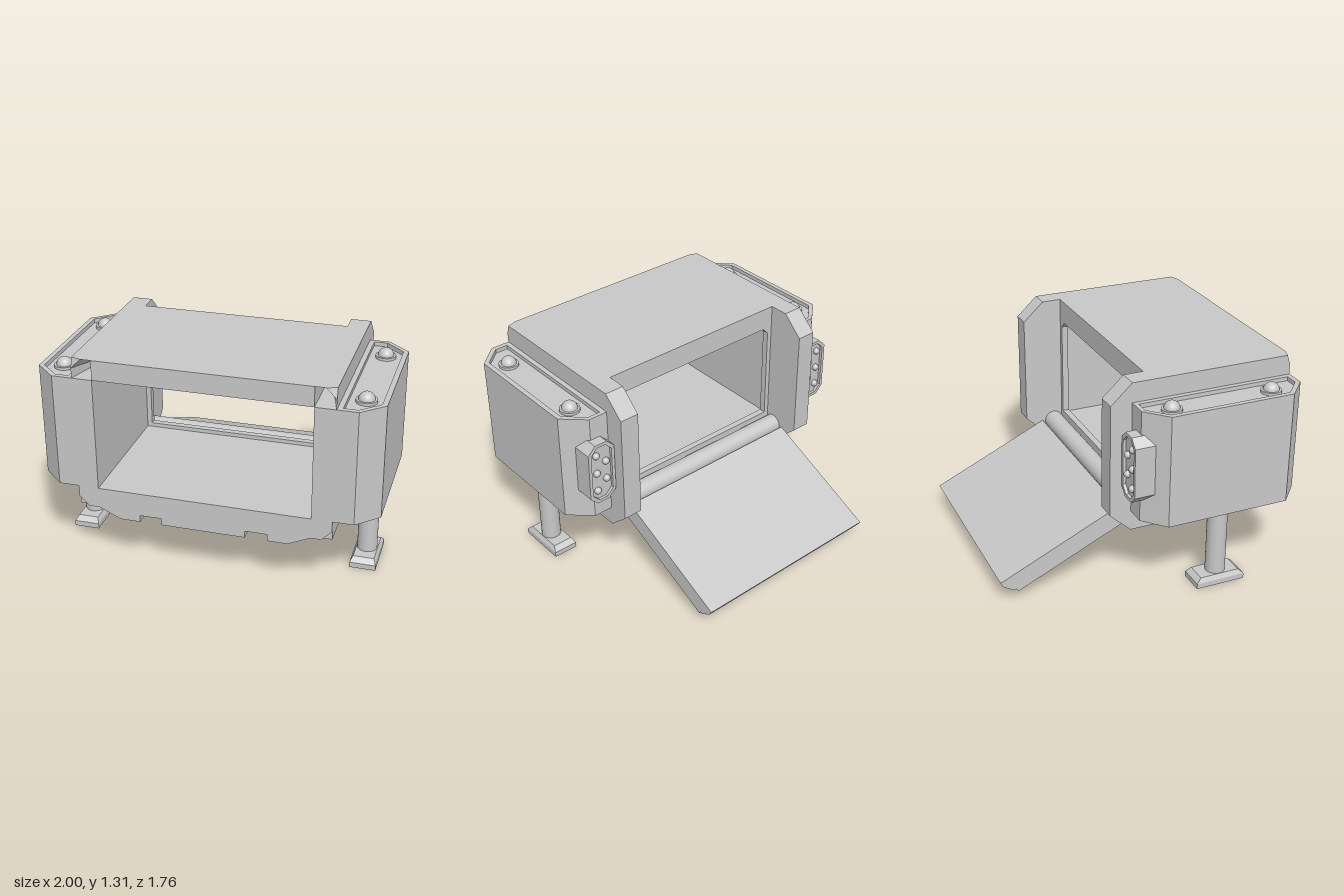
import * as THREE from 'three';

const hull = new THREE.MeshStandardMaterial({ color: 0xc8c8c8, side: THREE.DoubleSide });
hull.name = 'hullGrey';

function add(parent, name, geometry) {
  const mesh = new THREE.Mesh(geometry, hull);
  mesh.name = name;
  parent.add(mesh);
  return mesh;
}

// Box given by its limits on each axis
function box(x0, x1, y0, y1, z0, z1) {
  return new THREE.BoxGeometry(x1 - x0, y1 - y0, z1 - z0)
    .translate((x0 + x1) / 2, (y0 + y1) / 2, (z0 + z1) / 2);
}

function extrude(pts, depth, holes = []) {
  const vec = (list) => list.map((p) => new THREE.Vector2(p[0], p[1]));
  const shape = new THREE.Shape(vec(pts));
  shape.holes = holes.map((h) => new THREE.Path(vec(h)));
  return new THREE.ExtrudeGeometry(shape, { depth, bevelEnabled: false });
}
// [x, y] outline from z0 to z1
const alongZ = (pts, z0, z1, holes) => extrude(pts, z1 - z0, holes).translate(0, 0, z0);
// [z, y] outline from x0 to x1
const alongX = (pts, x0, x1) => extrude(pts, x1 - x0).rotateY(-Math.PI / 2).translate(x1, 0, 0);
// [x, z] outline from y0 to y1
const alongY = (pts, y0, y1, holes) => extrude(pts, y1 - y0, holes).rotateX(Math.PI / 2).translate(0, y1, 0);

const rect = (x0, x1, y0, y1) => [[x0, y0], [x1, y0], [x1, y1], [x0, y1]];
const octagon = (x0, x1, y0, y1, c) => [[x0 + c, y0], [x1 - c, y0], [x1, y0 + c], [x1, y1 - c],
  [x1 - c, y1], [x0 + c, y1], [x0, y1 - c], [x0, y0 + c]];

// Upper front corner of the shell, hollowed by a long inward facet
function cornerGeometry() {
  const back = 0.45;
  const A = [0.63, 1.31, 0.88], B = [0.75, 1.19, 0.88], C = [0.69, 1.31, 0.88], D = [0.75, 1.25, 0.88];
  const E = [0.63, 1.19, back], F = [0.75, 1.31, 0.86];
  const G = [0.63, 1.31, back], H = [0.75, 1.31, back], I = [0.75, 1.19, back];
  const faces = [[G, A, C, F, H], [H, F, D, B, I], [C, D, F], [E, A, C], [E, C, D], [E, D, B]];
  const pos = [];
  for (const f of faces) {
    for (let i = 1; i < f.length - 1; i++) pos.push(...f[0], ...f[i], ...f[i + 1]);
  }
  const g = new THREE.BufferGeometry();
  g.setAttribute('position', new THREE.Float32BufferAttribute(pos, 3));
  g.computeVertexNormals();
  return g;
}

function buildShell(root) {
  const shell = new THREE.Group();
  shell.name = 'shell';
  root.add(shell);
  add(shell, 'rearShell', alongZ(rect(-0.75, 0.75, 0.38, 1.31), 0, 0.45,
    [rect(-0.63, 0.63, 0.505, 1.19)]));
  add(shell, 'roof', box(-0.63, 0.63, 1.19, 1.31, 0.45, 0.88));
  add(shell, 'floor', alongZ([[-0.75, 0.44], [-0.69, 0.38], [0.69, 0.38], [0.75, 0.44],
    [0.75, 0.505], [-0.75, 0.505]], 0.86, 0.88));
  add(shell, 'floorSlab', box(-0.75, 0.75, 0.38, 0.505, 0.45, 0.86));
  // Inner door frame at the rear
  add(shell, 'rearFrame', alongZ(rect(-0.63, 0.63, 0.505, 1.19), 0, 0.04,
    [[[-0.6, 0.53], [0.6, 0.53], [0.6, 1.13], [0.56, 1.17], [-0.56, 1.17], [-0.6, 1.13]]]));
  add(shell, 'hingeSill', box(-0.63, 0.63, 0.38, 0.42, -0.07, 0));
  const hinge = add(shell, 'hinge', new THREE.CylinderGeometry(0.06, 0.06, 1.25, 32).rotateZ(Math.PI / 2));
  hinge.position.set(0, 0.465, -0.06);

  // Underside skids, divided by grooves
  const skid = [[0.88, 0.38], [0.88, 0.32], [0.33, 0.32], [0.13, 0.38]];
  add(shell, 'middleSkid', alongX(skid, -0.25, 0.25));
  add(shell, 'skidBase', box(-0.38, 0.38, 0.362, 0.38, 0.2, 0.88));
}

// Everything on the +x side; the other side is its mirror
function buildSide() {
  const side = new THREE.Group();
  add(side, 'sideWall', box(0.63, 0.75, 0.505, 1.19, 0.45, 0.88));
  add(side, 'frontCorner', cornerGeometry());
  add(side, 'rearFlange', alongX([[0, 0.38], [0, 1.31], [-0.12, 1.31], [-0.25, 1.19],
    [-0.25, 0.5], [-0.12, 0.38]], 0.63, 0.75));

  // Outer skid with its lower edge drawn inward
  const skid = alongX([[0.88, 0.38], [0.88, 0.32], [0.33, 0.32], [0.13, 0.38]], 0.38, 0.63);
  const p = skid.attributes.position;
  for (let i = 0; i < p.count; i++) if (p.getX(i) > 0.6 && p.getY(i) < 0.35) p.setX(i, 0.5);
  skid.computeVertexNormals();
  add(side, 'outerSkid', skid);

  // Pod with a recessed tray at top and bottom
  const plan = [[0.75, -0.12], [0.87, -0.12], [1, 0], [1, 0.76], [0.87, 0.88], [0.75, 0.88]];
  const tray = [[0.78, -0.095], [0.86, -0.095], [0.97, 0.01], [0.97, 0.75], [0.86, 0.85], [0.78, 0.85]];
  add(side, 'pod', alongY(plan, 0.53, 1.165));
  add(side, 'podTopRim', alongY(plan, 1.165, 1.19, [tray]));
  add(side, 'podBottomRim', alongY(plan, 0.505, 0.53, [tray]));
  for (const z of [0.06, 0.685]) {
    for (const s of [1, -1]) {
      const y = s > 0 ? 1.165 : 0.53;
      const ring = add(side, 'knobRing', new THREE.CylinderGeometry(0.06, 0.06, 0.016, 28));
      ring.position.set(0.875, y + s * 0.008, z);
      const dome = add(side, 'knob', new THREE.SphereGeometry(0.047, 24, 16));
      dome.position.set(0.875, y + s * 0.013, z);
    }
  }

  // Leg and foot
  const leg = add(side, 'leg', new THREE.CylinderGeometry(0.06, 0.06, 0.48, 32));
  leg.position.set(0.875, 0.295, 0.38);
  add(side, 'footBase', box(0.797, 0.953, 0, 0.033, 0.225, 0.535));
  const top = box(0.797, 0.953, 0.033, 0.062, 0.225, 0.535);
  const t = top.attributes.position;
  for (let i = 0; i < t.count; i++) {
    if (t.getY(i) < 0.05) continue;
    t.setX(i, 0.875 + (t.getX(i) - 0.875) * 0.8);
    t.setZ(i, 0.38 + (t.getZ(i) - 0.38) * 0.8);
  }
  top.computeVertexNormals();
  add(side, 'footTop', top);

  // Rear control box: body, raised rim and buttons
  const outline = octagon(0.755, 0.935, 0.645, 1.05, 0.05);
  add(side, 'controlBox', alongZ(outline, -0.165, -0.055));
  add(side, 'controlRim', alongZ(outline, -0.183, -0.165, [octagon(0.775, 0.915, 0.665, 1.03, 0.042)]));
  for (let i = 0; i < 5; i++) {
    const button = add(side, 'button', new THREE.SphereGeometry(0.022, 16, 10));
    button.position.set(i % 2 ? 0.81 : 0.875, 0.97 - i * 0.061, -0.171);
  }
  return side;
}

// Sloping ramp, built flat along -z and then tilted
function buildRamp(root) {
  const ramp = new THREE.Group();
  ramp.name = 'ramp';
  ramp.position.set(0, 0.36, -0.1);
  ramp.rotation.x = -0.433;
  add(ramp, 'rampSlab', alongX([[0.03, 0.02], [0.011, 0.119], [-0.804, 0.119], [-0.8, 0.083],
    [-0.757, 0.02]], -0.625, 0.625));
  // Underside frame with ribs between three sunken panels
  const outer = [[0.6, -0.03], [0.4, -0.03], [0.4, -0.2], [0.28, -0.47], [0.28, -0.71], [0.6, -0.71]];
  const middle = [[-0.35, -0.03], [0.35, -0.03], [0.35, -0.19], [0.22, -0.45], [0.22, -0.71],
    [-0.22, -0.71], [-0.22, -0.45], [-0.35, -0.19]];
  add(ramp, 'rampRibs', alongY(rect(-0.625, 0.625, -0.743, 0.01), 0, 0.02,
    [outer, outer.map(([x, z]) => [-x, z]), middle]));
  root.add(ramp);
}

export function createModel() {
  const root = new THREE.Group();
  root.name = 'dockingModule';
  buildShell(root);
  const left = buildSide();
  left.name = 'leftSide';
  const right = buildSide();
  right.name = 'rightSide';
  right.scale.x = -1;
  root.add(left, right);
  buildRamp(root);
  return root;
}
